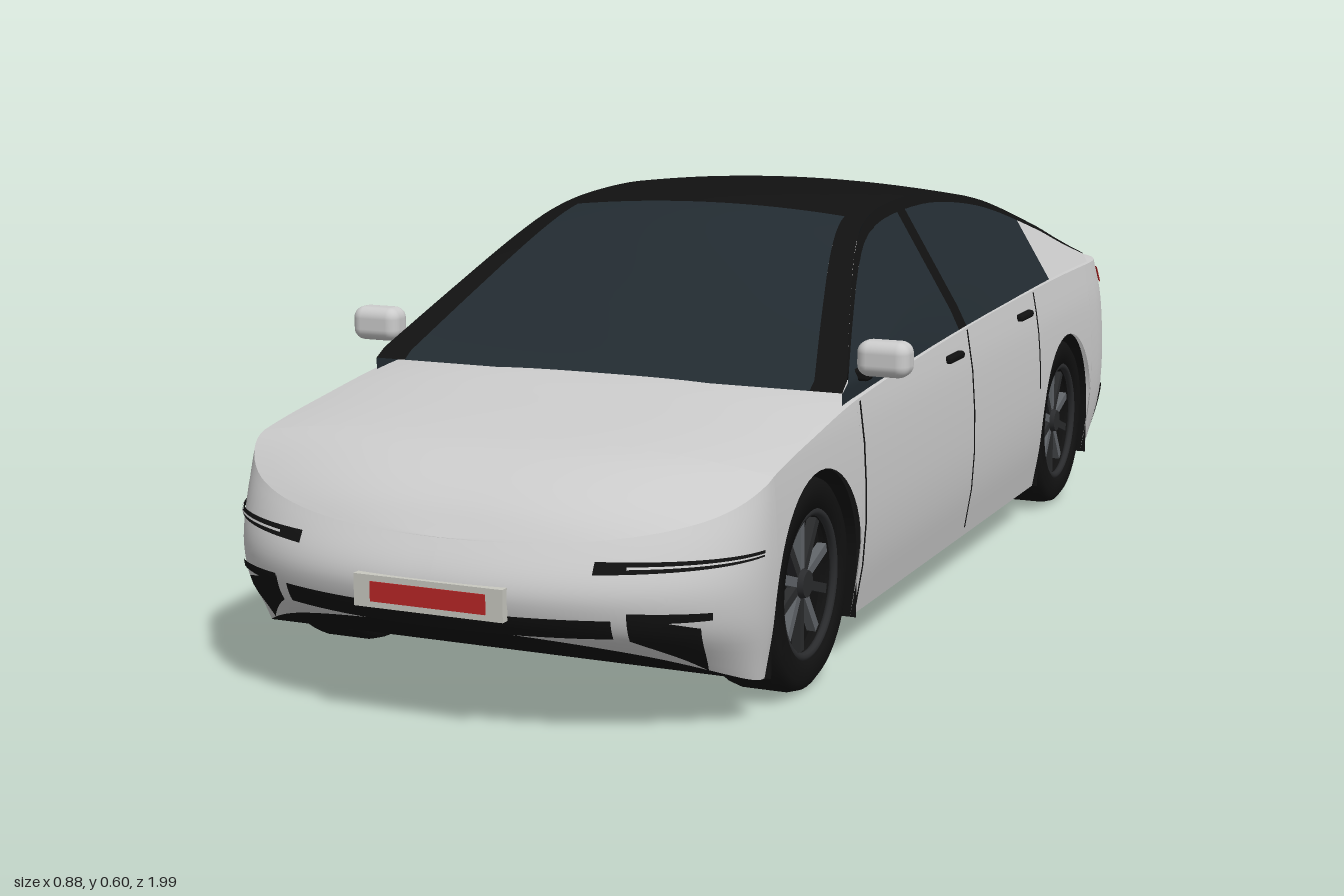
import * as THREE from 'three';
import { RoundedBoxGeometry } from 'three/addons/geometries/RoundedBoxGeometry.js';

const paint = (color, side = THREE.DoubleSide) => new THREE.MeshStandardMaterial({ color, side });
const BODY = paint(0xcccccc), BLACK = paint(0x111111), GLASS = paint(0x222b31);
const RED = paint(0xb82626), RIM = paint(0x2a2b2d), SPOKE = paint(0x606468), PLATE = paint(0xc8c8c0);

// Smooth function through a few [x, value] points, x ascending
function curve(pts) {
  const n = pts.length - 1;
  const slope = i => {
    const a = pts[Math.max(i - 1, 0)], b = pts[Math.min(i + 1, n)];
    return (b[1] - a[1]) / (b[0] - a[0]);
  };
  return x => {
    x = Math.min(Math.max(x, pts[0][0]), pts[n][0]);
    let i = 0;
    while (i < n - 1 && x > pts[i + 1][0]) i++;
    const h = pts[i + 1][0] - pts[i][0], t = (x - pts[i][0]) / h, s = 1 - t;
    return pts[i][1] * (1 + 2 * t) * s * s + pts[i + 1][1] * t * t * (3 - 2 * t)
      + h * (slope(i) * t * s * s - slope(i + 1) * t * t * s);
  };
}
const range = (a, b, n) => Array.from({ length: n + 1 }, (_, i) => a + (b - a) * i / n);
const lerp = THREE.MathUtils.lerp;

// Surface from a rule fn(u, v) -> [x, y, z]
function patch(name, mat, us, vs, fn) {
  const pos = [], idx = [], m = vs.length;
  us.forEach(u => vs.forEach(v => pos.push(...fn(u, v))));
  for (let i = 0; i < us.length - 1; i++) for (let j = 0; j < m - 1; j++) {
    const a = i * m + j, b = a + m;
    idx.push(a, b, a + 1, b, b + 1, a + 1);
  }
  const g = new THREE.BufferGeometry();
  g.setAttribute('position', new THREE.Float32BufferAttribute(pos, 3));
  g.setIndex(idx);
  g.computeVertexNormals();
  const mesh = new THREE.Mesh(g, mat);
  mesh.name = name;
  return mesh;
}

// Body dimensions
const HW = 0.382, ZF = 0.775, ZR = -0.735, FRONT = 0.21, REAR = 0.257, R = 0.155, AXLE = 0.145;
const AXLES = [0.62, -0.58];
const widthAt = curve([[0.06, 0.955], [0.14, 0.99], [0.22, 1], [0.33, 0.985], [0.41, 0.95]]);
const frontAt = curve([[0.06, 0.45], [0.1, 0.68], [0.14, 0.92], [0.18, 1], [0.21, 0.98], [0.25, 0.86], [0.29, 0.7], [0.35, 0.45]]);
const rearAt = curve([[0.06, 0.4], [0.1, 0.67], [0.15, 0.92], [0.2, 0.98], [0.25, 1], [0.35, 0.98], [0.4, 0.88]]);
const shoulder = curve([[-0.992, 0.4], [-0.85, 0.402], [-0.5, 0.402], [0, 0.39], [0.45, 0.367], [0.6, 0.35], [0.8, 0.318], [0.9, 0.28], [0.985, 0.25]]);
const crown = curve([[-0.961, 0.4], [-0.9, 0.416], [-0.8, 0.421], [-0.5, 0.41], [0, 0.395], [0.48, 0.384], [0.6, 0.371], [0.8, 0.342], [0.87, 0.318], [0.92, 0.288], [0.956, 0.25]]);
const roofline = curve([[-0.78, 0.422], [-0.7, 0.453], [-0.6, 0.497], [-0.4, 0.565], [-0.2, 0.597], [0, 0.6], [0.13, 0.585], [0.22, 0.55], [0.35, 0.475], [0.5, 0.381]]);

// Half plan outline: t 0-1 nose, 1-2 side, 2-3 tail
const sideT = z => 1 + (ZF - z) / (ZF - ZR);
function outline(t) {
  if (t >= 1 && t <= 2) return { x: HW, z: lerp(ZF, ZR, t - 1), nx: 1, nz: 0 };
  const nose = t < 1, a = (nose ? t : 3 - t) * Math.PI / 2, p = nose ? 0.9 : 0.65;
  const s = Math.sin(a), c = Math.max(Math.cos(a), 0);
  return { x: HW * s ** p, z: nose ? ZF + FRONT * c ** p : ZR - REAR * c ** p, nx: s, nz: nose ? c : -c };
}
// Point on the body wall at outline t and height y
function wall(t, y, off = 0) {
  const o = outline(t);
  let z = o.z;
  if (t < 1) z = ZF + (z - ZF) * frontAt(y);
  if (t > 2) z = ZR + (z - ZR) * rearAt(y);
  return [o.x * widthAt(y) + o.nx * off, y, z + o.nz * off];
}
// Stations around the half outline, with the lower edge cut by the wheel arches
function makeStations() {
  const list = [];
  const lift = (t, h, e) => 0.06 + h * (1 - (outline(t).x / HW) ** e);
  range(0, 1, 24).forEach(t => list.push({ t, low: lift(t, 0.08, 2.5) }));
  AXLES.forEach((zc, k) => {
    range(0, Math.PI, 24).forEach(a =>
      list.push({ t: sideT(zc + R * Math.cos(a)), low: AXLE + R * Math.sin(a), arch: true }));
    if (k === 0) range(zc - R, AXLES[1] + R, 10).forEach(z => list.push({ t: sideT(z), low: 0.06 }));
  });
  range(2, 3, 24).forEach(t => list.push({ t, low: lift(t, 0.03, 3) }));
  return list;
}

// Cabin: sloping sides cut off by the roofline
const cabinX = y => Math.min(0.364, 0.365 - 0.6 * (y - 0.39));
const eaves = z => roofline(z) - 0.016 * Math.min(1, Math.max(0, (roofline(z) - 0.385) / 0.2));
function cabinSide(z, v) {
  const low = shoulder(z) - 0.006, y = lerp(low, Math.max(eaves(z), low), v);
  return [cabinX(y), y, z];
}
function cabinTop(z, u) {
  const e = eaves(z);
  return [u * cabinX(e), roofline(z) - (roofline(z) - e) * u * u, z];
}

function wheel() {
  const g = new THREE.Group();
  g.name = 'wheel';
  const add = (name, geo, mat, x = 0) => {
    const m = new THREE.Mesh(geo, mat);
    m.name = name;
    m.position.x = x;
    g.add(m);
    return m;
  };
  const prof = [[0.098, -0.05], [0.13, -0.05], [0.141, -0.042], [0.145, -0.028], [0.145, 0.028], [0.141, 0.042], [0.13, 0.05], [0.102, 0.05], [0.098, 0.03]];
  add('tyre', new THREE.LatheGeometry(prof.map(p => new THREE.Vector2(...p)), 48).rotateZ(-Math.PI / 2), BLACK);
  add('rimDish', new THREE.CylinderGeometry(0.1, 0.1, 0.06, 40).rotateZ(Math.PI / 2), BLACK, -0.008);
  add('rimRing', new THREE.TorusGeometry(0.097, 0.006, 8, 48).rotateY(Math.PI / 2), RIM, 0.042);
  add('hub', new THREE.CylinderGeometry(0.018, 0.024, 0.022, 20).rotateZ(-Math.PI / 2), RIM, 0.032);
  for (let i = 0; i < 10; i++) {
    const spoke = new THREE.BoxGeometry(0.014, 0.074, 0.013).translate(0, 0.056, 0);
    add('spoke', spoke, i % 2 ? RIM : SPOKE, 0.028).rotation.x = i * Math.PI / 5;
  }
  return g;
}

function numberPlate(z, y, turn) {
  const g = new THREE.Group();
  g.name = 'numberPlate';
  const base = new THREE.Mesh(new THREE.BoxGeometry(0.212, 0.042, 0.012), PLATE);
  const inset = new THREE.Mesh(new THREE.BoxGeometry(0.164, 0.026, 0.004), RED);
  inset.position.z = 0.0055;
  g.add(base, inset);
  g.position.set(0, y, z);
  g.rotation.y = turn;
  return g;
}

export function createModel() {
  const car = new THREE.Group();
  car.name = 'car';
  const pair = (...args) => {
    const fn = args.pop();
    for (const s of [1, -1]) car.add(patch(...args, (u, v) => {
      const p = fn(u, v);
      return [p[0] * s, p[1], p[2]];
    }));
  };
  const st = makeStations(), ids = st.map((_, i) => i), across = range(-1, 1, 28);

  // Body shell, bonnet and boot lid, floor
  pair('bodyWall', BODY, ids, range(0, 1, 18), (i, v) =>
    wall(st[i].t, lerp(st[i].low, shoulder(outline(st[i].t).z), v)));
  car.add(patch('bonnetAndDeck', BODY, ids, across, (i, u) => {
    const [x, y, z] = wall(st[i].t, shoulder(outline(st[i].t).z));
    return [u * x, y + (crown(z) - y) * (1 - Math.abs(u) ** 3), z];
  }));
  car.add(patch('floor', BLACK, ids, [-1, 0, 1], (i, u) => {
    const [x, y, z] = wall(st[i].t, st[i].arch ? 0.06 : st[i].low);
    return [u * (st[i].arch ? 0.25 : x), y, z];
  }));
  const hull = new THREE.Mesh(new THREE.BoxGeometry(0.5, 0.235, 1.5), BLACK);
  hull.name = 'innerHull';
  hull.position.set(0, 0.1825, 0.02);
  car.add(hull);

  // Wheel wells and wheels
  for (const zc of AXLES) {
    pair('archLiner', BLACK, range(-0.3, 1.3, 40), [0.245, 0.374], (u, x) => {
      const a = Math.PI * Math.min(Math.max(u, 0), 1), drop = Math.max(-u, u - 1, 0) / 0.3;
      return [x, AXLE + R * Math.sin(a) - 0.085 * drop, zc + R * Math.cos(a)];
    });
    for (const s of [1, -1]) {
      const w = wheel();
      w.position.set(s * 0.32, AXLE, zc);
      if (s < 0) w.rotation.y = Math.PI;
      car.add(w);
    }
  }

  // Cabin sides
  const side = (name, mat, z0, z1, v0, v1) => pair(name, mat, range(z0, z1, 24), range(v0, v1, 5), cabinSide);
  side('frontSideWindow', GLASS, 0.5, -0.018, 0, 0.92);
  side('centrePillar', BLACK, -0.018, -0.055, 0, 0.92);
  side('rearSideWindow', GLASS, -0.055, -0.53, 0, 0.92);
  side('rearQuarter', BODY, -0.53, -0.78, 0, 0.92);
  side('roofRail', BLACK, 0.5, -0.78, 0.92, 1);

  // Windscreen, roof and rear window with their pillars
  const top = (name, mat, z0, z1) => car.add(patch(name, mat, range(z0, z1, 20), range(-0.87, 0.87, 16), cabinTop));
  top('windscreen', GLASS, 0.5, 0.12);
  top('roof', BLACK, 0.12, -0.32);
  top('rearWindow', GLASS, -0.32, -0.78);
  pair('roofPillar', BLACK, range(0.5, -0.78, 60), range(0.87, 1, 3), cabinTop);
  pair('rearWindowCorner', BLACK, range(-0.68, -0.78, 6), range(0.62, 0.87, 4), (z, u) => {
    const p = cabinTop(z, u);
    return [p[0], p[1] + 0.002, z];
  });

  // Trim laid on the body wall: outline range and lower/upper height at each end
  const trim = (name, mat, t0, t1, [a0, a1], [b0, b1], off = 0.003) =>
    pair(name, mat, range(0, 1, 14), range(0, 1, 5), (u, v) =>
      wall(lerp(t0, t1, u), lerp(lerp(a0, b0, u), lerp(a1, b1, u), v), off));
  trim('headlamp', BLACK, 0.34, 0.9, [0.222, 0.237], [0.23, 0.238]);
  trim('headlampStrip', BODY, 0.42, 0.9, [0.229, 0.232], [0.233, 0.235], 0.005);
  trim('grille', BLACK, 0, 0.39, [0.137, 0.166], [0.14, 0.166]);
  trim('bumperVent', BLACK, 0.43, 0.64, [0.137, 0.172], [0.085, 0.152]);
  trim('bumperVentTop', BLACK, 0.43, 0.68, [0.162, 0.176], [0.162, 0.172], 0.004);
  trim('tailLamp', RED, 2.18, 2.7, [0.357, 0.384], [0.352, 0.383]);
  trim('tailLampTip', RED, 2.135, 2.165, [0.362, 0.382], [0.358, 0.384]);
  trim('rearSkirt', BLACK, 2.4, 3, [0.09, 0.125], [0.092, 0.122]);
  trim('rearVent', BLACK, 2.2, 2.55, [0.098, 0.165], [0.1, 0.178]);
  for (const [z, y0, y1] of [[0.455, 0.075, 0.364], [-0.035, 0.075, 0.389], [-0.4, 0.235, 0.398]])
    trim('doorSeam', BLACK, sideT(z + 0.003), sideT(z - 0.003), [y0, y1], [y0, y1], 0.002);

  // Door handles and mirrors
  for (const s of [1, -1]) {
    const add = (name, mat, size, pos) => {
      const m = new THREE.Mesh(new RoundedBoxGeometry(...size), mat);
      m.name = name;
      m.position.set(s * pos[0], pos[1], pos[2]);
      car.add(m);
    };
    add('doorHandle', BLACK, [0.014, 0.012, 0.065, 3, 0.005], [0.375, 0.359, 0.045]);
    add('doorHandle', BLACK, [0.014, 0.012, 0.065, 3, 0.005], [0.374, 0.369, -0.33]);
    add('mirror', BODY, [0.076, 0.05, 0.046, 4, 0.017], [0.4, 0.42, 0.428]);
    add('mirrorStalk', BLACK, [0.04, 0.016, 0.024, 2, 0.005], [0.358, 0.395, 0.425]);
  }

  car.add(numberPlate(0.984, 0.181, 0), numberPlate(-0.992, 0.262, Math.PI));
  return car;
}
